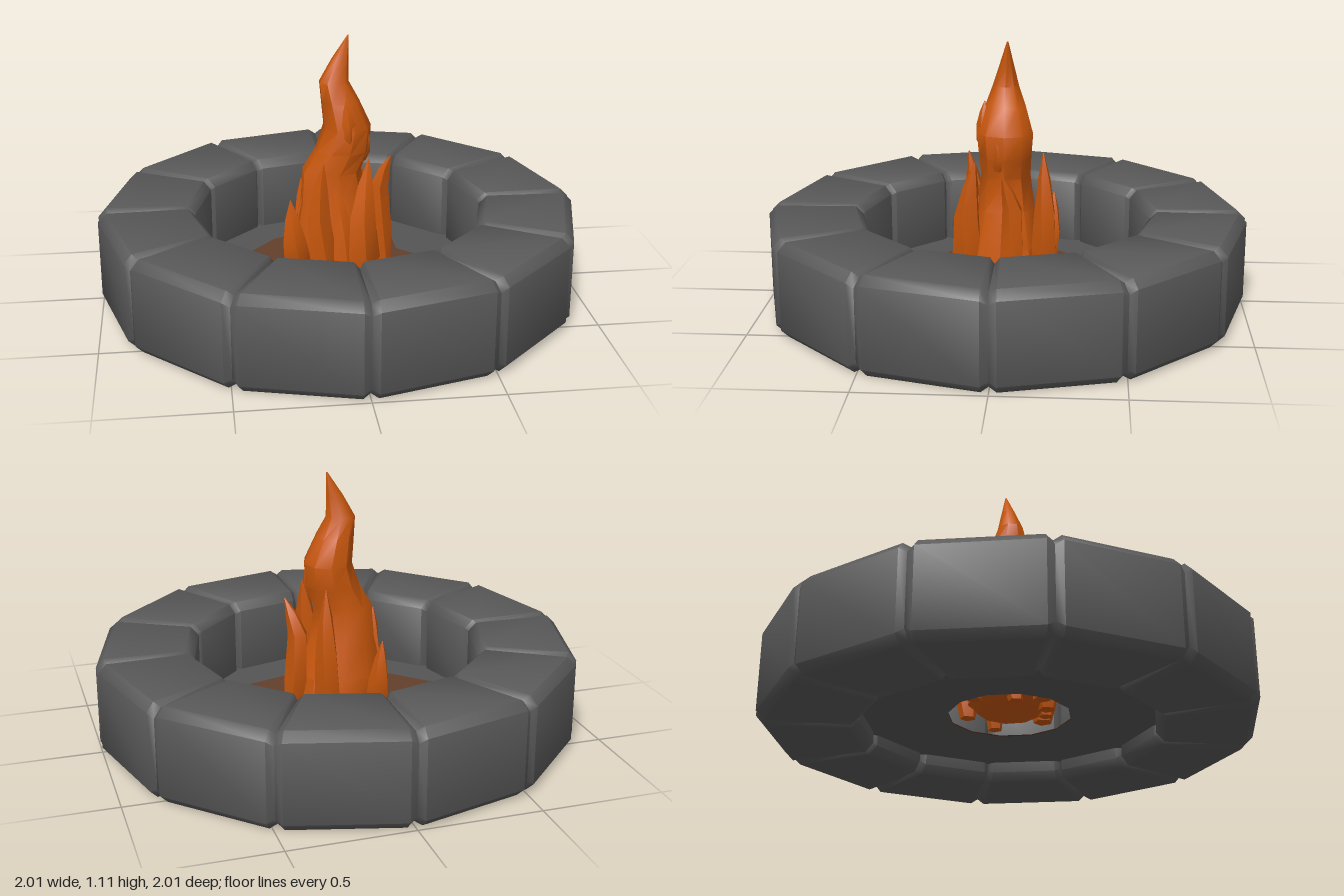
import * as THREE from 'three';
import { toCreasedNormals } from 'three/addons/utils/BufferGeometryUtils.js';

// Skin a list of equal-length point rings, closing both ends with fans
function loft(rings, crease) {
  const n = rings[0].length, pos = [];
  const tri = (a, b, c) => pos.push(...a.toArray(), ...b.toArray(), ...c.toArray());
  const centre = (r) => r.reduce((s, p) => s.add(p), new THREE.Vector3()).divideScalar(n);
  const first = rings[0], last = rings[rings.length - 1];
  const c0 = centre(first), c1 = centre(last);
  for (let j = 0; j < n; j++) {
    const k = (j + 1) % n;
    tri(c0, first[j], first[k]);
    for (let i = 0; i < rings.length - 1; i++) {
      const a = rings[i], b = rings[i + 1];
      tri(a[j], b[j], a[k]);
      tri(b[j], b[k], a[k]);
    }
    tri(c1, last[k], last[j]);
  }
  const g = new THREE.BufferGeometry();
  g.setAttribute('position', new THREE.Float32BufferAttribute(pos, 3));
  return toCreasedNormals(g, crease);
}

// Flame body from rows of [x, y, z, radiusX, radiusZ]
function flame(rows, sides, turn = 0) {
  return loft(rows.map(([x, y, z, rx, rz], i) => Array.from({ length: sides }, (_, j) => {
    const a = (j / sides) * Math.PI * 2 + turn * i;
    return new THREE.Vector3(x + rx * Math.cos(a), y, z + rz * Math.sin(a));
  })), 0.7);
}

// One wedge stone between two seam angles, with bevelled edges
function stone(a0, a1) {
  const rIn = 0.605, rOut = 1.012, h = 0.395, c = 0.035;
  const section = (t, inset) => {
    const lo = rIn + inset, hi = rOut - inset, b = inset, top = h - inset;
    const profile = [[lo + c, b], [hi - c, b], [hi, b + c], [hi, top - c],
      [hi - c, top], [lo + c, top], [lo, top - c], [lo, b + c]];
    const x = THREE.MathUtils.lerp(Math.cos(a0), Math.cos(a1), t);
    const z = -THREE.MathUtils.lerp(Math.sin(a0), Math.sin(a1), t);
    return profile.map(([r, y]) => new THREE.Vector3(r * x, y, r * z));
  };
  return loft([section(0, 0.018), section(0.06, 0), section(0.94, 0), section(1, 0.018)], 0.9);
}

export function createModel() {
  const stoneGrey = new THREE.MeshStandardMaterial({ color: 0x595959 });
  const floorGrey = new THREE.MeshStandardMaterial({ color: 0x555555, side: THREE.DoubleSide });
  const emberBrown = new THREE.MeshStandardMaterial({ color: 0x633f2b, side: THREE.DoubleSide });
  const flameOrange = new THREE.MeshStandardMaterial({ color: 0xc8570c });
  stoneGrey.name = 'stoneGrey';
  floorGrey.name = 'floorGrey';
  emberBrown.name = 'emberBrown';
  flameOrange.name = 'flameOrange';

  const model = new THREE.Group();
  model.name = 'firePit';
  const add = (parent, name, geometry, material) => {
    const m = new THREE.Mesh(geometry, material);
    m.name = name;
    parent.add(m);
    return m;
  };

  // Ring of twelve stones
  const ring = new THREE.Group();
  ring.name = 'stoneRing';
  model.add(ring);
  for (let i = 0; i < 12; i++) {
    add(ring, 'stone', stone((i * Math.PI) / 6, ((i + 1) * Math.PI) / 6), stoneGrey);
  }

  // Pit floor with a round opening
  const floorY = 0.08;
  const floor = add(model, 'floor', new THREE.RingGeometry(0.25, 0.64, 12), floorGrey);
  floor.rotation.x = -Math.PI / 2;
  floor.position.y = floorY;

  // Scorched patch lying on the floor, outline as [x, z]
  const outline = [[-0.61, -0.06], [-0.4, -0.08], [-0.38, -0.2], [-0.25, -0.35], [-0.1, -0.41],
    [0.02, -0.42], [0.2, -0.39], [0.28, -0.31], [0.28, -0.18], [0.37, -0.09], [0.38, 0.22],
    [0.29, 0.33], [0.08, 0.39], [-0.02, 0.35], [-0.18, 0.36], [-0.34, 0.26], [-0.48, 0.12], [-0.61, 0.06]];
  const patchShape = new THREE.Shape(outline.map(([x, z]) => new THREE.Vector2(x, -z)));
  const hole = Array.from({ length: 12 }, (_, i) => {
    const a = (i * Math.PI) / 6;
    return new THREE.Vector2(0.25 * Math.cos(a), 0.25 * Math.sin(a));
  });
  patchShape.holes.push(new THREE.Path(hole));
  const patch = add(model, 'scorchPatch', new THREE.ShapeGeometry(patchShape), emberBrown);
  patch.rotation.x = -Math.PI / 2;
  patch.position.y = floorY + 0.005;

  // Central flame, swaying to a point
  const fire = new THREE.Group();
  fire.name = 'fire';
  model.add(fire);
  add(fire, 'mainFlame', flame([
    [0, 0.09, 0, 0.12, 0.12], [0, 0.13, 0, 0.18, 0.17], [-0.015, 0.25, 0, 0.18, 0.16],
    [-0.025, 0.4, 0, 0.14, 0.125], [-0.03, 0.54, 0, 0.125, 0.105], [0.015, 0.63, 0, 0.115, 0.11],
    [0.035, 0.73, 0, 0.1, 0.118], [0.005, 0.84, 0, 0.08, 0.085], [-0.02, 0.92, 0, 0.062, 0.055],
    [0.005, 1.01, -0.005, 0.036, 0.03], [0.04, 1.11, -0.01, 0.003, 0.003],
  ], 9), flameOrange);

  // Small licks around the base, each bulging then tapering: base, middle, tip, width
  const licks = [
    [[-0.18, 0.09, 0.1], [-0.2, 0.28, 0.14], [-0.215, 0.46, 0.14], 0.06],
    [[0.08, 0.09, 0.15], [0.08, 0.38, 0.155], [0.11, 0.62, 0.12], 0.065],
    [[-0.07, 0.09, 0.14], [-0.1, 0.38, 0.13], [-0.08, 0.62, 0.16], 0.06],
    [[0.2, 0.09, -0.03], [0.175, 0.44, -0.04], [0.22, 0.59, 0], 0.05],
    [[0.08, 0.09, -0.16], [0.09, 0.4, -0.17], [0.09, 0.66, -0.16], 0.055],
    [[-0.13, 0.09, -0.16], [-0.13, 0.26, -0.19], [-0.14, 0.43, -0.2], 0.05],
    [[0.01, 0.09, 0.15], [0.0, 0.33, 0.12], [-0.03, 0.53, 0.09], 0.05],
    [[-0.15, 0.09, 0], [-0.13, 0.36, -0.02], [-0.1, 0.58, -0.02], 0.05],
    // Folds on the upper flame
    [[0.03, 0.66, 0.08], [0.03, 0.76, 0.09], [0.02, 0.86, 0.085], 0.035],
    [[0.09, 0.58, 0.02], [0.1, 0.68, 0.02], [0.1, 0.77, 0.025], 0.035],
  ];
  for (const [base, mid, tip, w] of licks) {
    const curve = new THREE.CatmullRomCurve3([base, mid, tip].map((p) => new THREE.Vector3(...p)));
    const rows = [[0, 0.6], [0.2, 1], [0.5, 0.85], [0.78, 0.5], [1, 0.04]].map(([t, s]) => {
      const p = curve.getPoint(t);
      return [p.x, p.y, p.z, w * s, w * s];
    });
    add(fire, 'flameLick', flame(rows, 5, 0.15), flameOrange);
  }
  return model;
}
